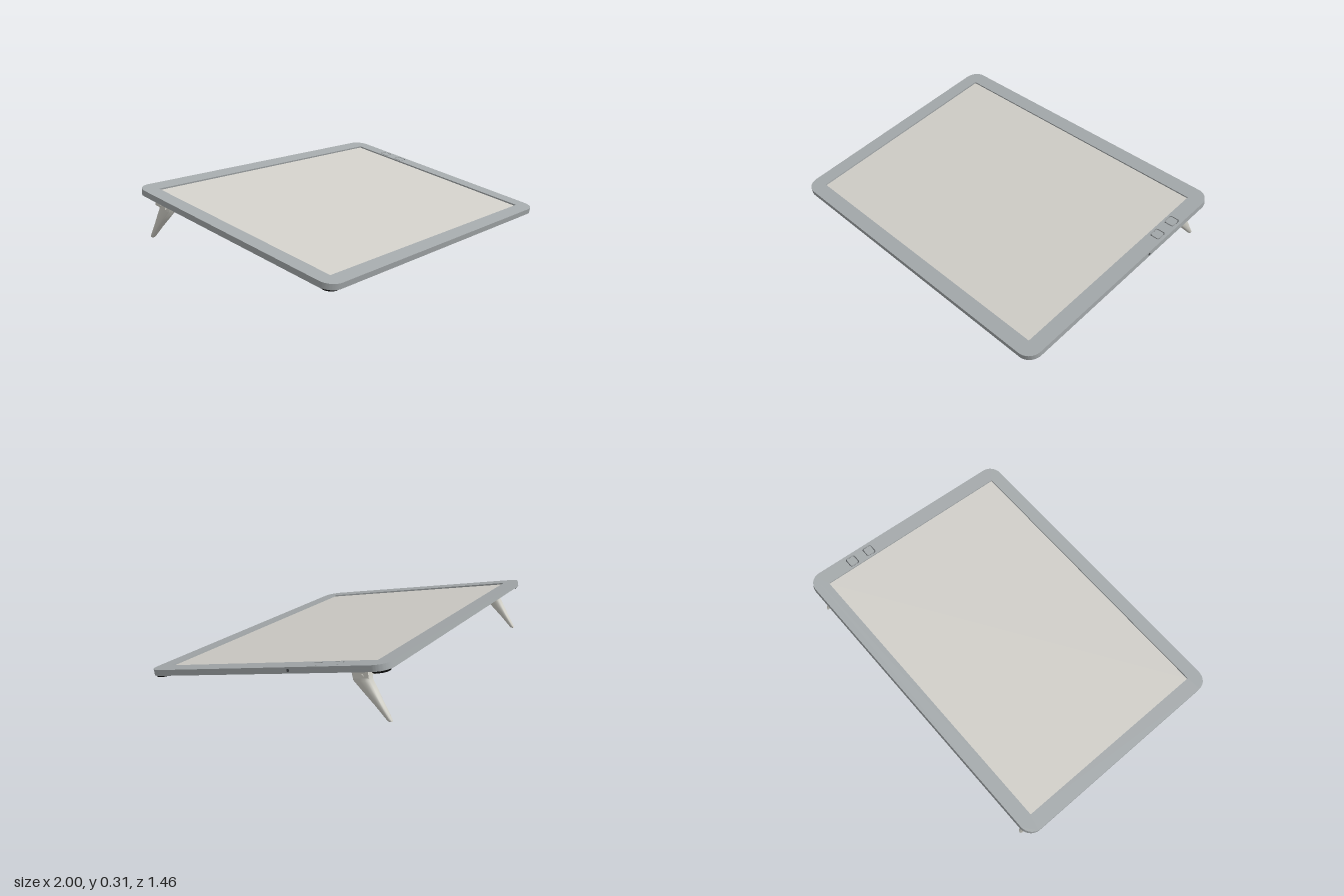
import * as THREE from 'three';
import { toCreasedNormals } from 'three/addons/utils/BufferGeometryUtils.js';

const mat = (name, color, side = THREE.FrontSide) => {
  const m = new THREE.MeshStandardMaterial({ color, side });
  m.name = name;
  return m;
};

// Rounded rectangle outline, centred on (x, y)
function roundRect(Type, w, h, r, x = 0, y = 0) {
  const s = new Type(), a = w / 2 - r, b = h / 2 - r;
  s.absarc(x + a, y + b, r, 0, Math.PI / 2);
  s.absarc(x - a, y + b, r, Math.PI / 2, Math.PI);
  s.absarc(x - a, y - b, r, Math.PI, Math.PI * 1.5);
  s.absarc(x + a, y - b, r, Math.PI * 1.5, Math.PI * 2);
  s.closePath();
  return s;
}

// Horizontal slab from an outline (outline y becomes -z), base at y
function slab(shape, y, height) {
  const g = new THREE.ExtrudeGeometry(shape, { depth: height, bevelEnabled: false, curveSegments: 10 });
  g.rotateX(-Math.PI / 2).translate(0, y, 0);
  return toCreasedNormals(g, 0.6);
}

// Tapered leg lofted through rings: [front z, front y, back z, back y, half width]
function legGeometry() {
  const rings = [
    [-0.502, 0.237, -0.605, 0.256, 0.034],
    [-0.515, 0.185, -0.606, 0.198, 0.034],
    [-0.575, 0.127, -0.636, 0.148, 0.028],
    [-0.635, 0.070, -0.668, 0.093, 0.021],
    [-0.690, 0.013, -0.718, 0.012, 0.013],
    [-0.700, 0.003, -0.720, 0.004, 0.009],
    [-0.711, 0.000, -0.711, 0.000, 0.000],
  ];
  const n = 16, pos = [], idx = [];
  const soft = (v) => Math.sign(v) * Math.pow(Math.abs(v), 0.6);
  rings.forEach(([fz, fy, bz, by, w], r) => {
    for (let i = 0; i < n; i++) {
      const a = (i / n) * Math.PI * 2, c = soft(Math.cos(a)) / 2;
      pos.push(w * soft(Math.sin(a)), (fy + by) / 2 + (fy - by) * c, (fz + bz) / 2 + (fz - bz) * c);
      if (r < rings.length - 1) {
        const p = r * n + i, q = r * n + ((i + 1) % n);
        idx.push(p, p + n, q, q, p + n, q + n);
      }
    }
  });
  const g = new THREE.BufferGeometry();
  g.setAttribute('position', new THREE.Float32BufferAttribute(pos, 3));
  g.setIndex(idx);
  return toCreasedNormals(g, 0.7);
}

export function createModel() {
  const casing = mat('casing grey', 0xa4a9ab);
  const panel = mat('panel warm grey', 0xd0cec8);
  const stand = mat('stand light grey', 0xd3d2ca);
  const rubber = mat('rubber black', 0x0a0a0a);
  const dark = mat('socket dark grey', 0x4a4d50);

  const model = new THREE.Group();
  model.name = 'drawingTablet';
  const add = (parent, name, geometry, material, x = 0, y = 0, z = 0) => {
    const m = new THREE.Mesh(geometry, material);
    m.name = name;
    m.position.set(x, y, z);
    parent.add(m);
    return m;
  };

  // Tilted tablet body
  const body = new THREE.Group();
  body.name = 'tabletBody';
  body.position.y = 0.164;
  body.rotation.x = THREE.MathUtils.degToRad(10.5);
  model.add(body);

  const W = 2, D = 1.477, H = 0.033, R = 0.08, rim = 0.012;
  const buttons = [-0.447, -0.322];
  add(body, 'backShell', slab(roundRect(THREE.Shape, W, D, R), -H / 2, H - rim), casing);

  // Bezel with the screen opening and button wells
  const bezel = roundRect(THREE.Shape, W, D, R);
  bezel.holes.push(roundRect(THREE.Path, 1.815, 1.302, 0.003));
  buttons.forEach((z) => bezel.holes.push(roundRect(THREE.Path, 0.064, 0.064, 0.014, 0.951, -z)));
  add(body, 'bezel', slab(bezel, H / 2 - rim, rim), casing);

  // Screen panel recessed below the bezel
  add(body, 'screen', new THREE.BoxGeometry(1.815, 0.003, 1.302), panel, 0, H / 2 - rim + 0.0015, 0);

  // Buttons with a dark gap around them
  buttons.forEach((z) => {
    add(body, 'buttonWell', slab(roundRect(THREE.Shape, 0.064, 0.064, 0.014), 0, 0.002), dark, 0.951, H / 2 - rim, z);
    add(body, 'button', slab(roundRect(THREE.Shape, 0.052, 0.052, 0.01), 0, rim), casing, 0.951, H / 2 - rim, z);
  });

  // Small socket on the left edge
  const socket = new THREE.CylinderGeometry(0.008, 0.008, 0.004, 16).rotateZ(Math.PI / 2);
  add(body, 'sideSocket', socket, dark, W / 2 - 0.001, 0, -0.19);

  const foot = toCreasedNormals(new THREE.CylinderGeometry(0.048, 0.046, 0.013, 28), 0.6);
  const plate = slab(roundRect(THREE.Shape, 0.09, 0.235, 0.035), 0, 0.012);
  const lug = new THREE.BoxGeometry(0.01, 0.034, 0.085);
  const pin = toCreasedNormals(new THREE.CylinderGeometry(0.01, 0.01, 0.09, 16).rotateZ(Math.PI / 2), 0.6);
  const leg = legGeometry();
  for (const s of [1, -1]) {
    // Rubber feet under each corner
    for (const z of [0.675, -0.675]) add(body, 'rubberFoot', foot, rubber, s * 0.935, -H / 2 - 0.006, z);

    // Hinge mount and folding leg
    const x = s * 0.915;
    add(body, 'hingePlate', plate, stand, x, -H / 2 - 0.011, -0.508);
    for (const e of [-1, 1]) add(body, 'hingeLug', lug, stand, x + e * 0.037, -H / 2 - 0.026, -0.57);
    add(body, 'hingePin', pin, stand, x, -H / 2 - 0.03, -0.575);
    add(model, 'foldingLeg', leg, stand, x);
  }
  return model;
}
